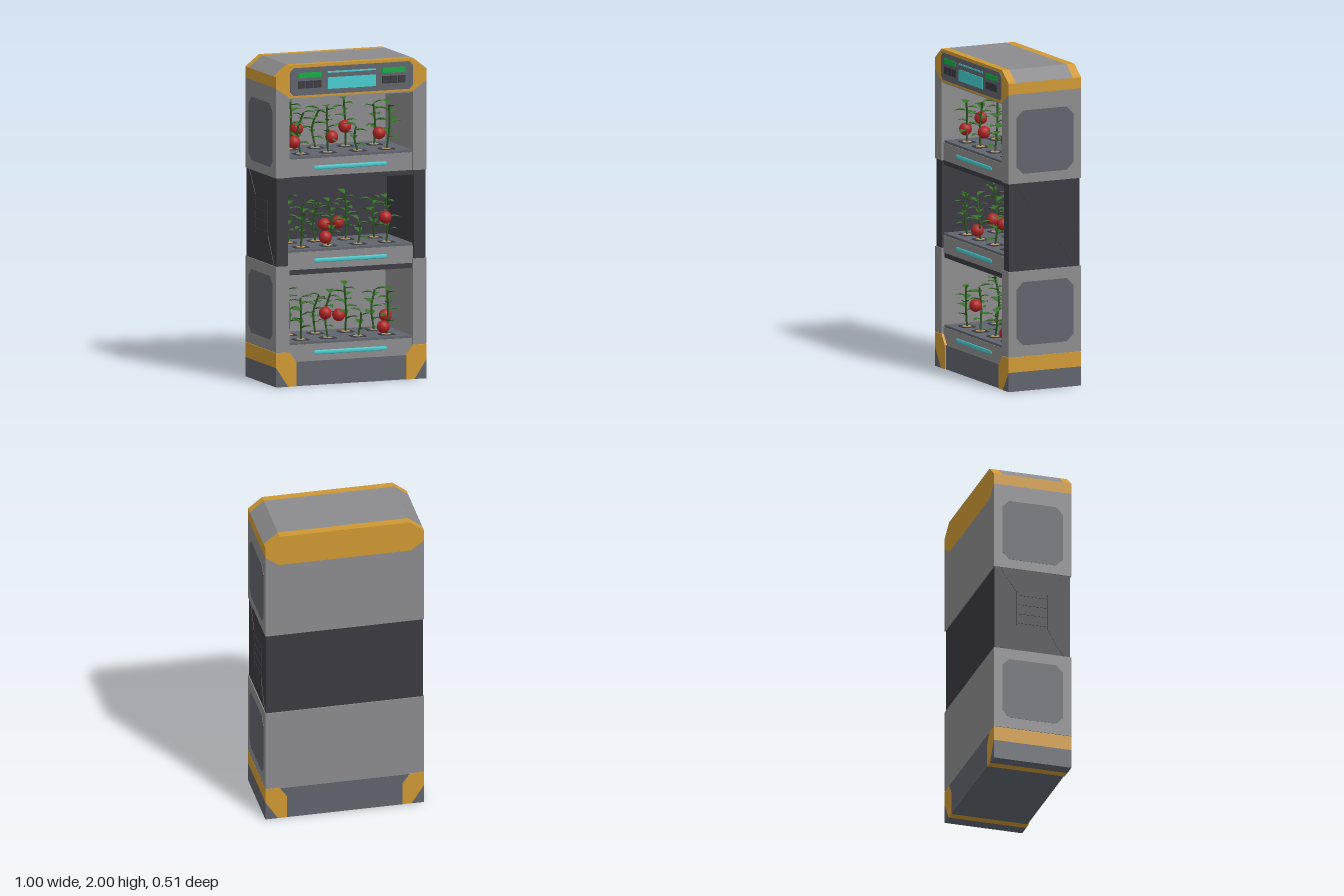
import * as THREE from 'three';

const mat = (name, color, side = THREE.FrontSide, flatShading = false) => {
  const m = new THREE.MeshStandardMaterial({ color, side, flatShading });
  m.name = name;
  return m;
};

export function createModel() {
  const grey = mat('casing grey', 0x8b8b8d), slate = mat('slate grey', 0x60646c);
  const dark = mat('charcoal', 0x3a3a41), orange = mat('trim orange', 0xcf9833);
  const cyan = mat('light cyan', 0x46ccd0), green = mat('display green', 0x10ac42);
  const leafMat = mat('leaf green', 0x38702a, THREE.DoubleSide, true);
  const stemMat = mat('stem green', 0x2a5a1e), red = mat('fruit red', 0xb02424);
  const soil = mat('soil tan', 0xb59468);

  const root = new THREE.Group();
  root.name = 'planterCabinet';
  const FRONT = 0.245, BACK = -0.255, MID = (FRONT + BACK) / 2;

  const add = (name, geometry, material, parent = root) => {
    const mesh = new THREE.Mesh(geometry, material);
    mesh.name = name;
    parent.add(mesh);
    return mesh;
  };
  // Box given by its limits on each axis
  const box = (name, material, x0, x1, y0, y1, z0, z1, parent = root) => {
    const mesh = add(name, new THREE.BoxGeometry(x1 - x0, y1 - y0, z1 - z0), material, parent);
    mesh.position.set((x0 + x1) / 2, (y0 + y1) / 2, (z0 + z1) / 2);
    return mesh;
  };
  // Outline in x and y, extruded from z0 to z1
  const prism = (name, material, points, z0, z1, parent = root) => {
    const shape = new THREE.Shape(points.map(([x, y]) => new THREE.Vector2(x, y)));
    const geometry = new THREE.ExtrudeGeometry(shape, { depth: z1 - z0, bevelEnabled: false });
    const mesh = add(name, geometry, material, parent);
    mesh.position.z = z0;
    return mesh;
  };
  const mirrored = (points, s) => points.map(([x, y]) => [x * s, y]);
  const chamfered = (w, h, c) => [[-w + c, -h], [w - c, -h], [w, -h + c], [w, h - c],
    [w - c, h], [-w + c, h], [-w, h - c], [-w, -h + c]];

  // Back walls and ceiling
  box('upperBackWall', grey, -0.41, 0.41, 1.3, 1.8, BACK, -0.2);
  box('middleBackWall', dark, -0.495, 0.495, 0.75, 1.3, -0.248, -0.2);
  box('lowerBackWall', grey, -0.41, 0.41, 0.21, 0.75, BACK, -0.2);
  box('ceiling', grey, -0.41, 0.41, 1.785, 1.796, -0.2, 0.235);

  // Top cap: orange band with a grey roof between two orange rims
  const capOutline = [[-0.41, 1.795], [0.41, 1.795], [0.5, 1.86], [0.5, 1.93],
    [0.41, 2], [-0.41, 2], [-0.5, 1.93], [-0.5, 1.86]];
  prism('frontCap', orange, capOutline, 0.195, FRONT);
  prism('backCap', orange, capOutline, BACK, -0.2);
  prism('capBand', orange, [[-0.41, 1.795], [0.41, 1.795], [0.5, 1.86], [0.5, 1.93],
    [-0.5, 1.93], [-0.5, 1.86]], -0.2, 0.195);
  prism('roof', grey, [[-0.5, 1.93], [0.5, 1.93], [0.41, 2], [-0.41, 2]], -0.2, 0.195);

  // Control panel
  prism('controlPanel', slate, chamfered(0.408, 0.086, 0.025), FRONT, 0.25).position.y = 1.895;
  box('screen', cyan, -0.16, 0.16, 1.84, 1.912, 0.25, 0.254);
  box('screenLine', cyan, -0.16, 0.16, 1.94, 1.95, 0.25, 0.254);
  for (const s of [-1, 1]) {
    const c = s * 0.28;
    box('statusLight', green, c - 0.077, c + 0.077, 1.918, 1.95, 0.25, 0.254);
    for (let i = -1; i <= 1; i++)
      box('button', dark, c + i * 0.053 - 0.024, c + i * 0.053 + 0.024, 1.852, 1.898, 0.25, 0.255);
  }

  // Side walls, panels, vents and base corners, mirrored
  for (const s of [-1, 1]) {
    const side = s > 0 ? 'left' : 'right';
    prism(side + 'UpperWall', grey, mirrored([[0.41, 1.3], [0.5, 1.3], [0.5, 1.86], [0.41, 1.795]], s), BACK, FRONT);
    prism(side + 'MiddleWall', dark, mirrored([[0.42, 0.75], [0.494, 0.75], [0.494, 1.3], [0.42, 1.3]], s), -0.248, 0.238);
    prism(side + 'LowerWall', grey, mirrored([[0.41, 0.215], [0.5, 0.215], [0.5, 0.75], [0.41, 0.75]], s), BACK, FRONT);
    prism(side + 'BaseCorner', orange, mirrored([[0.365, 0], [0.42, 0], [0.5, 0.12], [0.5, 0.213],
      [0.41, 0.213], [0.365, 0.15]], s), BACK, FRONT);
    prism(side + 'BaseFoot', slate, mirrored([[0.42, 0], [0.5, 0], [0.5, 0.12]], s), BACK, FRONT);

    for (const [y, h] of [[1.557, 0.198], [0.483, 0.198]]) {
      const panel = prism(side + 'SidePanel', slate, chamfered(0.196, h, 0.045), 0, 0.002);
      panel.rotation.y = s * Math.PI / 2;
      panel.position.set(s * 0.4995, y, MID);
    }

    // Slats and angled ribs of the vent
    const vent = new THREE.Group();
    vent.name = side + 'Vent';
    root.add(vent);
    const rib = (z0, y0, z1, y1) => {
      const length = Math.hypot(z1 - z0, y1 - y0);
      const mesh = add('rib', new THREE.BoxGeometry(0.006, 0.009, length), dark, vent);
      mesh.position.set(s * 0.494, (y0 + y1) / 2, (z0 + z1) / 2);
      mesh.rotation.x = -Math.atan2(y1 - y0, z1 - z0);
    };
    for (let i = 0; i < 4; i++) rib(-0.095, 0.94 + i * 0.063, 0.085, 0.94 + i * 0.063);
    for (const t of [-1, 1]) {
      const zi = MID + t * 0.1, zo = MID + t * 0.2;
      rib(zi, 0.92, zi, 1.15);
      rib(zi, 1.15, zo, 1.295);
      rib(zi, 0.92, zo, 0.755);
    }
  }

  // Base
  box('base', slate, -0.365, 0.365, 0, 0.15, BACK, 0.238);
  prism('baseBackPlate', slate, [[-0.365, 0], [0.365, 0], [0.365, 0.15], [0.41, 0.212],
    [-0.41, 0.212], [-0.365, 0.15]], BACK, -0.2);

  // Beams over the middle and lower openings
  box('middleBeam', dark, -0.42, 0.42, 1.27, 1.3, -0.2, 0.225);
  box('lowerBeam', dark, -0.41, 0.41, 0.69, 0.722, -0.2, 0.225);

  // Leaf: pointed, folded along the middle and drooping at the tip
  const leafGeo = new THREE.PlaneGeometry(1, 1, 2, 4).rotateX(-Math.PI / 2);
  const lp = leafGeo.attributes.position;
  const widths = [0.12, 0.85, 1, 0.65, 0.03];
  for (let i = 0; i < lp.count; i++) {
    const t = lp.getZ(i) + 0.5, w = widths[Math.round(t * 4)], x = lp.getX(i);
    lp.setXYZ(i, x * w * 0.58, Math.abs(x) * w * 0.2 - 0.35 * t * t + 0.15 * t, t);
  }
  leafGeo.computeVertexNormals();
  const fruitGeo = new THREE.SphereGeometry(0.04, 14, 10);

  let seed = 17;
  const rand = () => (seed = (seed * 16807) % 2147483647) / 2147483647;

  const plant = (x, y, z, h) => {
    const g = new THREE.Group();
    g.name = 'plant';
    g.position.set(x, y, z);
    root.add(g);
    const bend = () => (rand() - 0.5) * 0.04;
    const path = new THREE.CatmullRomCurve3([new THREE.Vector3(0, -0.005, 0),
      new THREE.Vector3(bend(), h * 0.5, bend()), new THREE.Vector3(bend(), h * 0.93, bend())]);
    add('stem', new THREE.TubeGeometry(path, 6, 0.0065, 5), stemMat, g);
    const n = Math.round(h * 32);
    for (let i = 0; i < n; i++) {
      const t = 0.25 + 0.75 * i / (n - 1);
      const leaf = add('leaf', leafGeo, leafMat, g);
      leaf.position.copy(path.getPoint(t));
      leaf.rotation.set(-0.15 - rand() * 0.35, i * 2.4 + rand() * 0.8, 0, 'YXZ');
      leaf.scale.setScalar(0.065 + rand() * 0.025);
    }
  };

  // Shelves: tray top height, casing bottom, fruit positions (x, y, z)
  const shelves = [
    [1.425, 1.3, [[-0.33, 1.5, 0.12], [-0.28, 1.57, 0.04], [-0.08, 1.52, 0.12], [0.08, 1.55, -0.06], [0.235, 1.525, 0.12]]],
    [0.845, 0.722, [[-0.13, 0.9, 0.14], [-0.1, 0.965, 0.05], [0.05, 0.95, -0.1], [0.26, 1.005, 0.16]]],
    [0.27, 0.15, [[-0.135, 0.43, 0.15], [0.05, 0.375, -0.085], [0.285, 0.385, 0.1], [0.255, 0.32, 0.14]]],
  ];
  const columns = [-0.29, -0.11, 0.09, 0.28];
  const frontHeights = [0.28, 0.3, 0.16, 0.3], backHeights = [0.32, 0.26, 0.31, 0.27];
  for (const [top, bottom, fruits] of shelves) {
    box('tray', grey, -0.415, 0.415, bottom, top - 0.015, -0.2, 0.23);
    box('trayTop', slate, -0.415, 0.415, top - 0.015, top, -0.2, 0.226);
    // Light strip with rounded ends
    const strip = add('lightStrip', new THREE.CapsuleGeometry(0.013, 0.46, 3, 8), cyan);
    strip.rotation.z = Math.PI / 2;
    strip.scale.x = 1;
    strip.scale.z = 0.3;
    strip.position.set(0, bottom + 0.052, 0.23);
    columns.forEach((x, i) => {
      for (const [z, h] of [[0.13, frontHeights[i]], [-0.07, backHeights[i]]]) {
        const rim = prism('potRim', dark, chamfered(0.048, 0.045, 0.014), 0, 0.003);
        rim.rotation.x = -Math.PI / 2;
        rim.position.set(x, top, z);
        const plug = add('potSoil', new THREE.CylinderGeometry(0.03, 0.03, 0.004, 10), soil);
        plug.position.set(x, top + 0.003, z);
        plant(x, top, z, h);
      }
    });
    for (const p of fruits) add('fruit', fruitGeo, red).position.set(...p);
  }
  return root;
}
